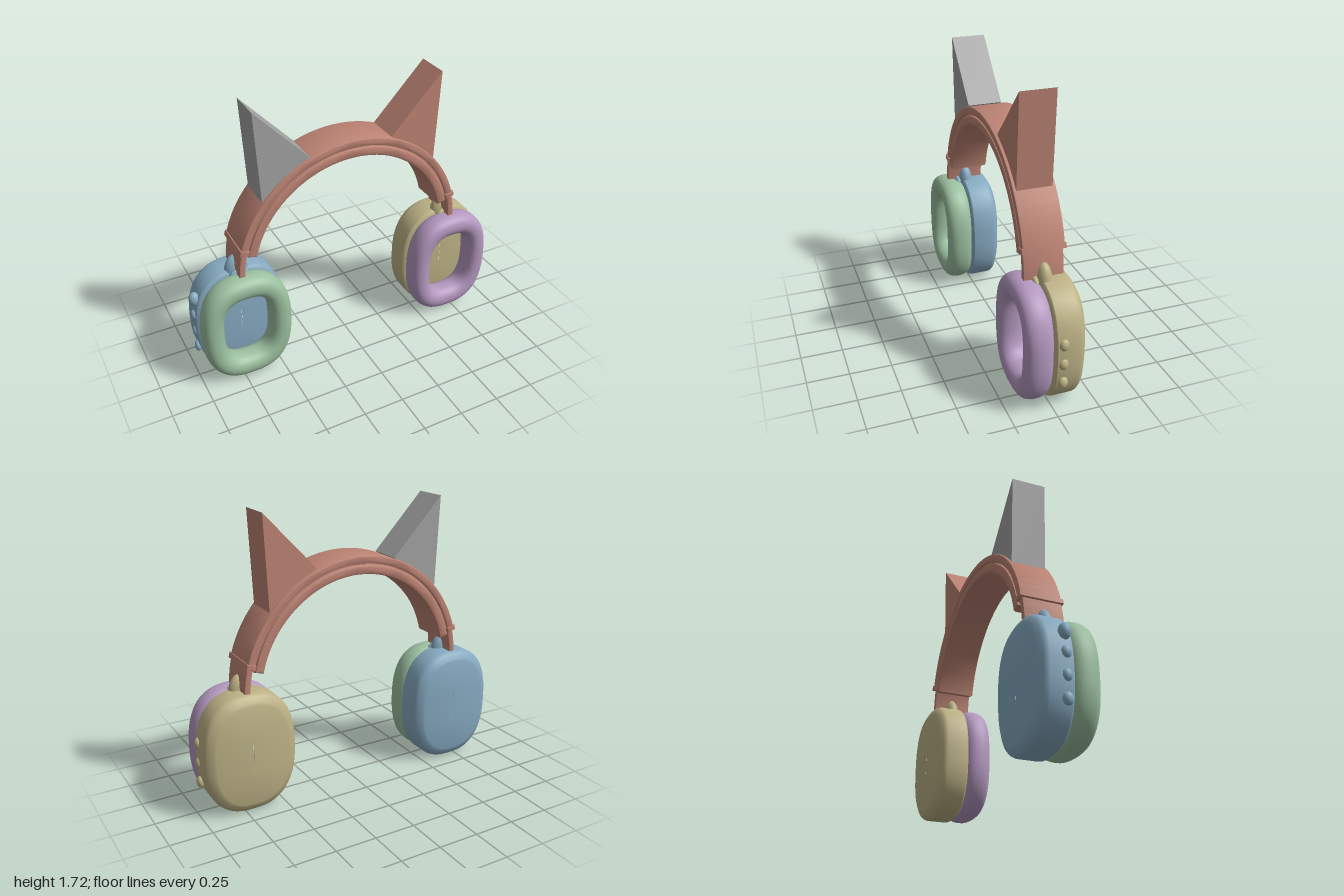
import * as THREE from 'three';
import { toCreasedNormals } from 'three/addons/utils/BufferGeometryUtils.js';

const material = (name, color, side = THREE.FrontSide) => {
  const m = new THREE.MeshStandardMaterial({ color, side });
  m.name = name;
  return m;
};

// Skin over rounded-oblong rings, each { a, b, z, n }: half width, half height, depth, squareness
function loft(rings, segments = 64) {
  const pos = [], index = [];
  const bend = (v, n) => Math.sign(v) * Math.pow(Math.abs(v), 2 / n);
  for (const { a, b, z, n = 2.5 } of rings) {
    for (let j = 0; j < segments; j++) {
      const t = (j / segments) * Math.PI * 2;
      pos.push(a * bend(Math.cos(t), n), b * bend(Math.sin(t), n), z);
    }
  }
  for (let i = 0; i < rings.length - 1; i++) {
    for (let j = 0; j < segments; j++) {
      const k = (j + 1) % segments;
      const p = i * segments + j, q = i * segments + k;
      const r = p + segments, s = q + segments;
      index.push(p, r, q, q, r, s);
    }
  }
  const g = new THREE.BufferGeometry();
  g.setAttribute('position', new THREE.Float32BufferAttribute(pos, 3));
  g.setIndex(index);
  return toCreasedNormals(g, 0.5);
}

// Curved strip around the band centre, from radius r0 to r1 and angle a0 to a1
function arcStrip(r0, r1, z0, z1, a0, a1, bevel = 0.008) {
  const s = new THREE.Shape();
  s.absarc(0, 0, r1, a0, a1, false);
  s.absarc(0, 0, r0, a1, a0, true);
  s.closePath();
  const g = new THREE.ExtrudeGeometry(s, {
    depth: z1 - z0 - 2 * bevel, curveSegments: 48, bevelEnabled: true,
    bevelThickness: bevel, bevelSize: bevel, bevelOffset: -bevel, bevelSegments: 2,
  });
  g.translate(0, 0, z0 + bevel);
  return toCreasedNormals(g, 0.5);
}

export function createModel() {
  const model = new THREE.Group();
  model.name = 'headphones';
  const rose = material('rose', 0xbd8474);
  const grey = material('grey', 0xa3a3a3);
  const blue = material('blue', 0x87abc2);
  const green = material('green', 0x9cc0a0);
  const tan = material('tan', 0xbdb286);
  const purple = material('purple', 0xb498c0);

  const add = (parent, name, geometry, mat, x = 0, y = 0, z = 0) => {
    const mesh = new THREE.Mesh(geometry, mat);
    mesh.name = name;
    mesh.position.set(x, y, z);
    parent.add(mesh);
    return mesh;
  };
  const ellipsoid = (rx, ry, rz) => new THREE.SphereGeometry(1, 24, 16).scale(rx, ry, rz);

  // Headband: outer shell and inner padding
  const bandY = 0.695, PI = Math.PI;
  add(model, 'bandShell', arcStrip(0.685, 0.73, -0.14, 0.105, 0.26, PI - 0.26), rose, 0, bandY);
  add(model, 'bandCore', arcStrip(0.665, 0.69, -0.125, 0.09, 0.23, PI - 0.23, 0.003), rose, 0, bandY);
  add(model, 'bandPadding', arcStrip(0.62, 0.677, -0.14, 0.105, 0.22, PI - 0.22, 0.014), rose, 0, bandY);

  // Cup shell with a rounded front rim, bevelled back and flat back panel
  const shellGeometry = loft([
    [0.28, 0.02], [0.03, 0.02], [0.012, 0.014], [0.003, 0.005], [0, -0.01],
    [0, -0.12], [0.004, -0.135], [0.014, -0.15], [0.045, -0.168], [0.058, -0.174], [0.28, -0.174],
  ].map(([inset, z]) => ({
    a: Math.max(0.281 - inset, 0.001), b: Math.max(0.362 - inset, 0.001), z,
  })));

  // Ear cushion: plump closed ring
  const cushionRings = [];
  for (let i = 0; i <= 28; i++) {
    const t = (i / 28) * PI * 2, c = Math.cos(t), s = Math.sin(t);
    const soft = (v) => Math.sign(v) * Math.pow(Math.abs(v), 0.88);
    cushionRings.push({
      a: 0.2125 + 0.0675 * soft(c), b: 0.2865 + 0.0715 * soft(c),
      z: 0.09 - 0.083 * soft(s), n: 2.7 - 0.2 * c,
    });
  }
  const cushionGeometry = loft(cushionRings);

  const sides = [
    { side: 1, label: 'left', cup: tan, pad: purple, ear: rose, buttons: [0.45, 0.33, 0.21] },
    { side: -1, label: 'right', cup: blue, pad: green, ear: grey, buttons: [0.45, 0.33, 0.21] },
  ];
  for (const { side, label, cup, pad, ear, buttons } of sides) {
    const group = new THREE.Group();
    group.name = label + 'Side';
    model.add(group);
    const x = side * 0.703;

    // Slider strap and its collar, where the band meets the cup
    const span = (a, b) => (side > 0 ? [a, b] : [PI - b, PI - a]);
    add(group, 'strap', arcStrip(0.688, 0.724, -0.128, 0.104, ...span(0.01, 0.3), 0.005), rose, 0, bandY);
    add(group, 'collar', arcStrip(0.68, 0.737, -0.146, 0.113, ...span(0.245, 0.288), 0.006), rose, 0, bandY);

    // Cup, cushion and the pivot knobs on top
    add(group, 'cupShell', shellGeometry, cup, x, 0.365);
    add(group, 'cushion', cushionGeometry, pad, x, 0.366);
    add(group, 'pivotKnob', ellipsoid(0.072, 0.115, 0.048), cup, x, 0.697, -0.014);
    add(group, 'smallKnob', ellipsoid(0.06, 0.042, 0.023), cup, x, 0.7, 0.04);

    // Control buttons along the outer edge
    for (const y of buttons) {
      add(group, 'button', ellipsoid(0.022, 0.035, 0.028), cup, side * 0.977, y, -0.03);
    }
    if (side < 0) add(group, 'largeButton', ellipsoid(0.033, 0.046, 0.033), cup, -0.967, 0.565, -0.03);

    // Pointed ear: triangular prism on the band
    const corners = [[0.258, 1.383], [0.553, 1.17], [0.578, 1.722]];
    const triangle = new THREE.Shape(corners.map(([px, py]) => new THREE.Vector2(side * px, py)));
    const prism = new THREE.ExtrudeGeometry(triangle, { depth: 0.207, bevelEnabled: false });
    add(group, 'pointedEar', prism, ear, 0, 0, -0.12);
  }
  return model;
}
